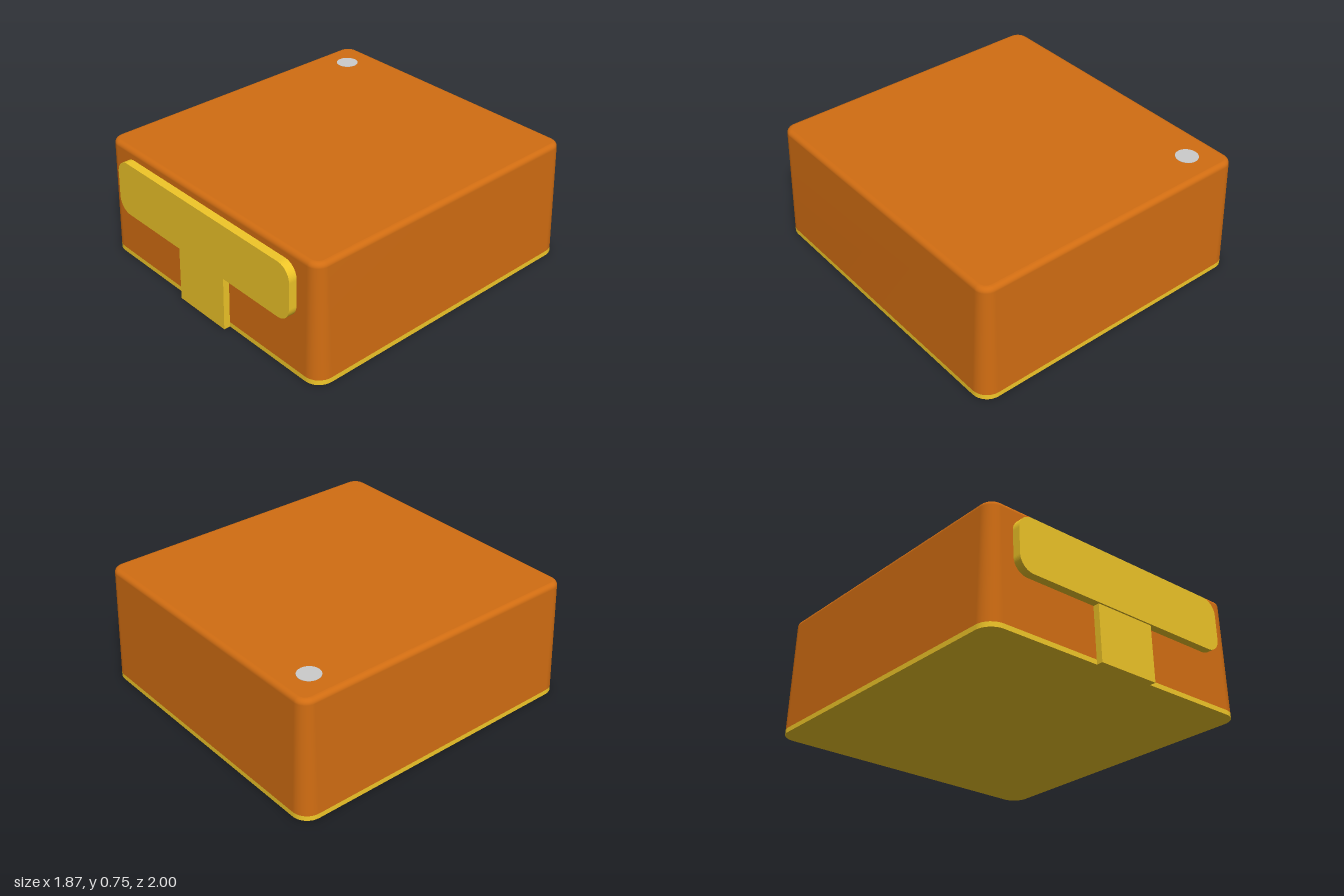
import * as THREE from 'three';

const ORANGE = 0xd16d12, YELLOW = 0xf0c628, GREY = 0xcccccc;
const HALF_W = 0.935, HALF_D = 0.98, CENTER_Z = -0.02, CORNER = 0.1;
const HEIGHT = 0.75, FILLET = 0.03, TAPER = 0.033, TRIM = 0.03;

function part(name, geometry, color) {
  const mesh = new THREE.Mesh(geometry, new THREE.MeshStandardMaterial({ color }));
  mesh.name = name;
  return mesh;
}

// Rounded rectangle outline, inset from the footprint, at height y
function ring(inset, y) {
  const pts = [], steps = 8, r = CORNER - inset;
  const cx = HALF_W - CORNER, cz = HALF_D - CORNER;
  [[1, 1], [-1, 1], [-1, -1], [1, -1]].forEach(([sx, sz], k) => {
    for (let i = 0; i <= steps; i++) {
      const a = (k + i / steps) * Math.PI / 2;
      pts.push([sx * cx + r * Math.cos(a), y, CENTER_Z + sz * cz + r * Math.sin(a)]);
    }
  });
  return pts;
}

// Skin stacked rings; the end caps have their own vertices for crisp edges
function loft(rings) {
  const pos = [], index = [], n = rings[0].length;
  rings.forEach(r => r.forEach(p => pos.push(...p)));
  for (let j = 0; j < rings.length - 1; j++) {
    for (let i = 0; i < n; i++) {
      const a = j * n + i, b = j * n + (i + 1) % n;
      index.push(a, a + n, b, b, a + n, b + n);
    }
  }
  [rings[0], rings[rings.length - 1]].forEach((r, top) => {
    const start = pos.length / 3;
    r.forEach(p => pos.push(...p));
    pos.push(0, r[0][1], CENTER_Z);
    for (let i = 0; i < n; i++) {
      const a = start + i, b = start + (i + 1) % n;
      index.push(...(top ? [a, start + n, b] : [a, b, start + n]));
    }
  });
  const g = new THREE.BufferGeometry();
  g.setAttribute('position', new THREE.Float32BufferAttribute(pos, 3));
  g.setIndex(index);
  g.computeVertexNormals();
  return g;
}

// Plate lying against the sloped front wall: extruded, then sheared with the wall
function frontPlate(shape, thickness) {
  const embed = 0.02;
  const g = new THREE.ExtrudeGeometry(shape, { depth: thickness + embed, bevelEnabled: false, curveSegments: 10 });
  g.translate(0, 0, CENTER_Z + HALF_D - embed);
  const p = g.attributes.position;
  for (let i = 0; i < p.count; i++) p.setZ(i, p.getZ(i) - TAPER * p.getY(i));
  return g;
}

function roundedRect(x, y, w, h, r) {
  const s = new THREE.Shape();
  s.absarc(x + w - r, y + r, r, -Math.PI / 2, 0);
  s.absarc(x + w - r, y + h - r, r, 0, Math.PI / 2);
  s.absarc(x + r, y + h - r, r, Math.PI / 2, Math.PI);
  s.absarc(x + r, y + r, r, Math.PI, Math.PI * 1.5);
  s.closePath();
  return s;
}

export function createModel() {
  const model = new THREE.Group();
  model.name = 'taperedBox';

  // Base trim and underside
  model.add(part('baseTrim', loft([ring(0, 0), ring(TAPER * TRIM, TRIM)]), YELLOW));

  // Tapered shell with a rounded top edge
  const shoulder = HEIGHT - FILLET, rings = [ring(TAPER * TRIM, TRIM)];
  for (let i = 0; i <= 6; i++) {
    const a = (i / 6) * Math.PI / 2;
    rings.push(ring(TAPER * shoulder + FILLET * (1 - Math.cos(a)), shoulder + FILLET * Math.sin(a)));
  }
  model.add(part('shell', loft(rings), ORANGE));

  // T-shaped front: wide rounded bar over a narrower stem
  model.add(part('frontBar', frontPlate(roundedRect(-0.76, 0.35, 1.52, 0.34, 0.09), 0.051), YELLOW));
  const stem = new THREE.Shape();
  stem.moveTo(-0.2, 0).lineTo(0.2, 0).lineTo(0.2, 0.36).lineTo(-0.2, 0.36).closePath();
  model.add(part('frontStem', frontPlate(stem, 0.04), YELLOW));

  // Round button set flush in the top
  const button = part('topButton', new THREE.CylinderGeometry(0.068, 0.068, 0.012, 40), GREY);
  button.position.set(-0.72, HEIGHT - 0.004, -0.785);
  model.add(button);

  return model;
}
